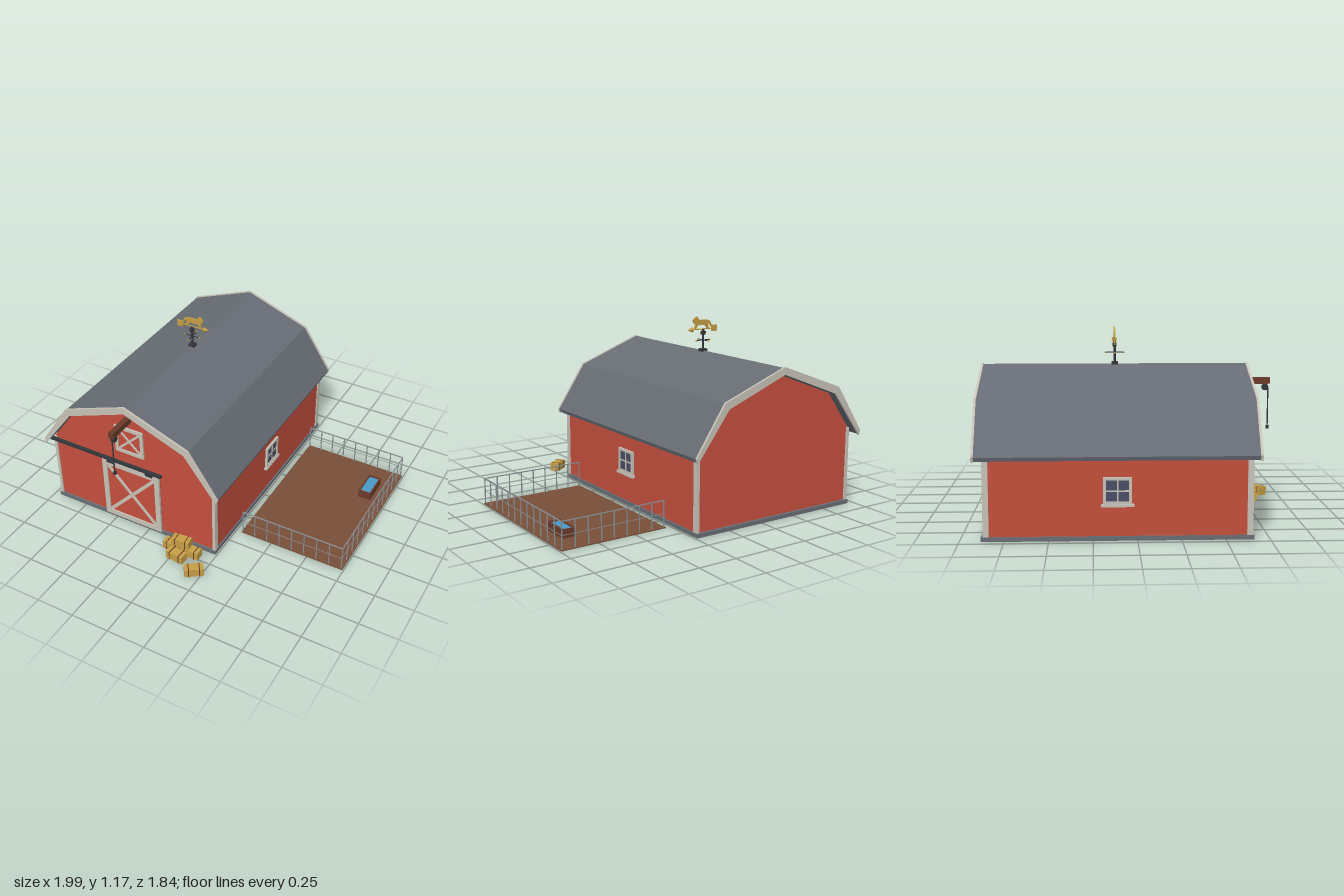
import * as THREE from 'three';

const mat = (name, color) => Object.assign(new THREE.MeshStandardMaterial({ color }), { name });

export function createModel() {
  const M = {
    red: mat('barnRed', 0xc44f3d),
    slate: mat('slate', 0x686d75),
    trim: mat('trimCream', 0xc8c3b8),
    iron: mat('blackIron', 0x33363b),
    soil: mat('soil', 0x784f3a),
    wood: mat('darkWood', 0x6b3a29),
    straw: mat('strawGold', 0xc69f45),
    water: mat('water', 0x4a9ac8),
    glass: mat('windowGlass', 0x484e66),
    steel: mat('fenceSteel', 0x8a9095),
  };
  const CX = -0.36, CZ = -0.115; // barn centre
  const model = new THREE.Group();
  model.name = 'barnyard';

  const group = (name, parent = model, x = 0, y = 0, z = 0) => {
    const g = new THREE.Group();
    g.name = name;
    g.position.set(x, y, z);
    parent.add(g);
    return g;
  };
  const add = (parent, name, geo, m, x = 0, y = 0, z = 0) => {
    const mesh = new THREE.Mesh(geo, m);
    mesh.name = name;
    mesh.position.set(x, y, z);
    parent.add(mesh);
    return mesh;
  };
  const box = (p, name, m, w, h, d, x = 0, y = 0, z = 0) =>
    add(p, name, new THREE.BoxGeometry(w, h, d), m, x, y, z);
  const rod = (p, name, m, r, len, x, y, z, sides = 8) =>
    add(p, name, new THREE.CylinderGeometry(r, r, len, sides), m, x, y, z);
  const extrude = (points, depth) => new THREE.ExtrudeGeometry(
    new THREE.Shape(points.map(([x, y]) => new THREE.Vector2(x, y))),
    { depth, bevelEnabled: false });
  // Full outline from its right half, listed from the eave to the ridge
  const mirrored = (half) => [...half, ...half.slice(0, -1).reverse().map(([x, y]) => [-x, y])];
  const band = (outer, inner) => [...mirrored(outer), ...mirrored(inner).reverse()];

  // Barn body
  const barn = group('barn', model, CX, 0, 0);
  box(barn, 'foundation', M.slate, 1.2, 0.025, 1.54, 0, 0.0125, CZ + 0.005);
  add(barn, 'walls', extrude(mirrored([[0.59, 0.02], [0.59, 0.5], [0.415, 0.74], [0, 0.9]]), 1.505),
    M.red, 0, 0, -0.86);
  for (const sx of [-1, 1])
    for (const z of [-0.851, 0.636])
      box(barn, 'cornerBoard', M.trim, 0.02, 0.475, 0.034, sx * 0.587, 0.2625, z);

  // Gambrel roof with rake boards at both ends
  const roof = band([[0.636, 0.485], [0.438, 0.781], [0, 0.945]],
    [[0.628, 0.462], [0.42, 0.757], [0, 0.918]]);
  add(barn, 'roof', extrude(roof, 1.6), M.slate, 0, 0, -0.915);
  const rake = band([[0.64, 0.488], [0.441, 0.786], [0, 0.951]],
    [[0.631, 0.456], [0.413, 0.746], [0, 0.905]]);
  for (const z of [-0.922, 0.683])
    add(barn, 'rakeBoard', extrude(rake, 0.014), M.trim, 0, 0, z);

  // Rectangular frame with optional crossed braces, facing +z
  const frame = (p, w, h, t, d, brace) => {
    for (const s of [-1, 1]) {
      box(p, 'stile', M.trim, t, h, d, s * (w - t) / 2, 0, 0);
      box(p, 'frameRail', M.trim, w - 2 * t, t, d, 0, s * (h - t) / 2, 0);
      if (!brace) continue;
      const a = w - 2 * t, b = h - 2 * t;
      box(p, 'crossBrace', M.trim, Math.hypot(a, b) - brace, brace, d * 0.6, 0, 0, s * 0.0008)
        .rotation.z = s * Math.atan2(b, a);
    }
  };

  // Sliding door and its track
  const door = group('slidingDoor', barn, 0.003, 0.254, 0.66);
  box(door, 'doorPanel', M.red, 0.41, 0.435, 0.018);
  const doorFrame = group('doorFrame', door, 0, 0, 0.01);
  frame(doorFrame, 0.42, 0.445, 0.034, 0.016, 0.022);
  box(barn, 'doorTrack', M.iron, 0.83, 0.017, 0.02, -0.185, 0.493, 0.672);
  for (const x of [-0.14, 0.145])
    box(barn, 'doorHanger', M.iron, 0.05, 0.02, 0.008, x, 0.48, 0.682);

  // Loft hatch
  const hatch = group('loftHatch', barn, 0, 0.672, 0.649);
  box(hatch, 'hatchPanel', M.red, 0.195, 0.19, 0.012);
  const hatchFrame = group('hatchFrame', hatch, 0, 0, 0.008);
  frame(hatchFrame, 0.205, 0.198, 0.022, 0.012, 0.014);

  // Side windows
  for (const s of [-1, 1]) {
    const win = group('sideWindow', barn, s * 0.594, 0.285, CZ + 0.002);
    win.rotation.y = s * Math.PI / 2;
    box(win, 'pane', M.glass, 0.14, 0.14, 0.008);
    const surround = group('windowFrame', win, 0, 0, 0.003);
    frame(surround, 0.162, 0.155, 0.017, 0.014, 0);
    box(surround, 'mullion', M.trim, 0.008, 0.13, 0.01);
    box(surround, 'crossbar', M.trim, 0.13, 0.008, 0.009);
    box(surround, 'sill', M.trim, 0.185, 0.016, 0.022, 0, -0.082, 0.003);
  }

  // Hoist beam, pulley and rope
  const hoist = group('hayHoist', barn);
  box(hoist, 'hoistBeam', M.wood, 0.036, 0.038, 0.21, 0, 0.837, 0.73);
  rod(hoist, 'pulley', M.iron, 0.02, 0.026, 0, 0.797, 0.807, 12).rotation.z = Math.PI / 2;
  rod(hoist, 'rope', M.iron, 0.004, 0.25, 0, 0.672, 0.826, 6);
  box(hoist, 'hook', M.iron, 0.018, 0.018, 0.018, 0, 0.549, 0.826);

  // Weathervane
  const vane = group('weathervane', model, CX, 0, CZ);
  box(vane, 'vaneBase', M.iron, 0.04, 0.018, 0.04, 0, 0.948, 0);
  rod(vane, 'vanePole', M.iron, 0.007, 0.14, 0, 1.015, 0);
  box(vane, 'vaneHub', M.iron, 0.024, 0.024, 0.024, 0, 1.06, 0);
  rod(vane, 'crossArmX', M.iron, 0.003, 0.11, 0, 1.013, 0).rotation.z = Math.PI / 2;
  rod(vane, 'crossArmZ', M.iron, 0.003, 0.11, 0, 1.013, 0).rotation.x = Math.PI / 2;
  for (const [x, z] of [[1, 0], [-1, 0], [0, 1], [0, -1]])
    add(vane, 'armTip', new THREE.SphereGeometry(0.006, 8, 6), M.straw, x * 0.055, 1.013, z * 0.055);
  rod(vane, 'arrowShaft', M.straw, 0.004, 0.2, -0.005, 1.086, 0).rotation.z = Math.PI / 2;
  box(vane, 'arrowTail', M.straw, 0.04, 0.042, 0.008, -0.088, 1.086, 0);
  add(vane, 'arrowHead', new THREE.ConeGeometry(0.017, 0.036, 8), M.straw, 0.107, 1.086, 0)
    .rotation.z = -Math.PI / 2;
  const animal = [[-0.066, 1.1], [-0.055, 1.134], [-0.025, 1.146], [0.035, 1.146], [0.052, 1.17],
    [0.066, 1.164], [0.084, 1.148], [0.078, 1.13], [0.064, 1.122], [0.072, 1.09], [0.061, 1.09],
    [0.045, 1.112], [-0.012, 1.112], [-0.03, 1.09], [-0.042, 1.09], [-0.036, 1.118],
    [-0.05, 1.122], [-0.06, 1.098]];
  add(vane, 'animalSilhouette', extrude(animal, 0.01), M.straw, 0, 0, -0.005);

  // Pen with wire fence on three sides
  const pen = group('pen');
  box(pen, 'penFloor', M.soil, 0.705, 0.006, 1.03, 0.64, 0.003, -0.115);
  const fence = (name, x0, z0, x1, z1, n) => {
    const g = group(name, pen);
    for (let i = 0; i <= n; i++)
      box(g, 'fencePost', M.steel, 0.006, 0.17, 0.006,
        x0 + (x1 - x0) * i / n, 0.087, z0 + (z1 - z0) * i / n);
    for (const [y, t] of [[0.17, 0.006], [0.088, 0.003]])
      box(g, 'fenceRail', M.steel, Math.abs(x1 - x0) + t, t, Math.abs(z1 - z0) + t,
        (x0 + x1) / 2, y, (z0 + z1) / 2);
  };
  fence('frontFence', 0.294, 0.393, 0.983, 0.393, 8);
  fence('backFence', 0.294, -0.618, 0.983, -0.618, 8);
  fence('sideFence', 0.983, 0.393, 0.983, -0.618, 12);

  // Water trough
  const trough = group('waterTrough', pen, 0.852, 0.006, -0.375);
  for (const s of [-1, 1]) {
    box(trough, 'troughSide', M.wood, 0.01, 0.055, 0.186, s * 0.038, 0.0275, 0);
    box(trough, 'troughEnd', M.wood, 0.066, 0.055, 0.01, 0, 0.0275, s * 0.088);
  }
  box(trough, 'troughWater', M.water, 0.066, 0.046, 0.166, 0, 0.023, 0);

  // Straw bales: x, y, z, turn
  const bales = [
    [-0.023, 0.028, 0.732, 0], [0.108, 0.028, 0.732, 0],
    [0.04, 0.084, 0.732, 0.1], [0.043, 0.028, 0.803, -0.08], [0.203, 0.028, 0.862, 0.62],
  ];
  for (const [x, y, z, turn] of bales) {
    const bale = group('strawBale', model, x, y, z);
    bale.rotation.y = turn;
    box(bale, 'straw', M.straw, 0.12, 0.055, 0.06);
    for (const s of [-1, 1])
      box(bale, 'strap', M.wood, 0.006, 0.057, 0.062, s * 0.034, 0, 0);
  }

  return model;
}
